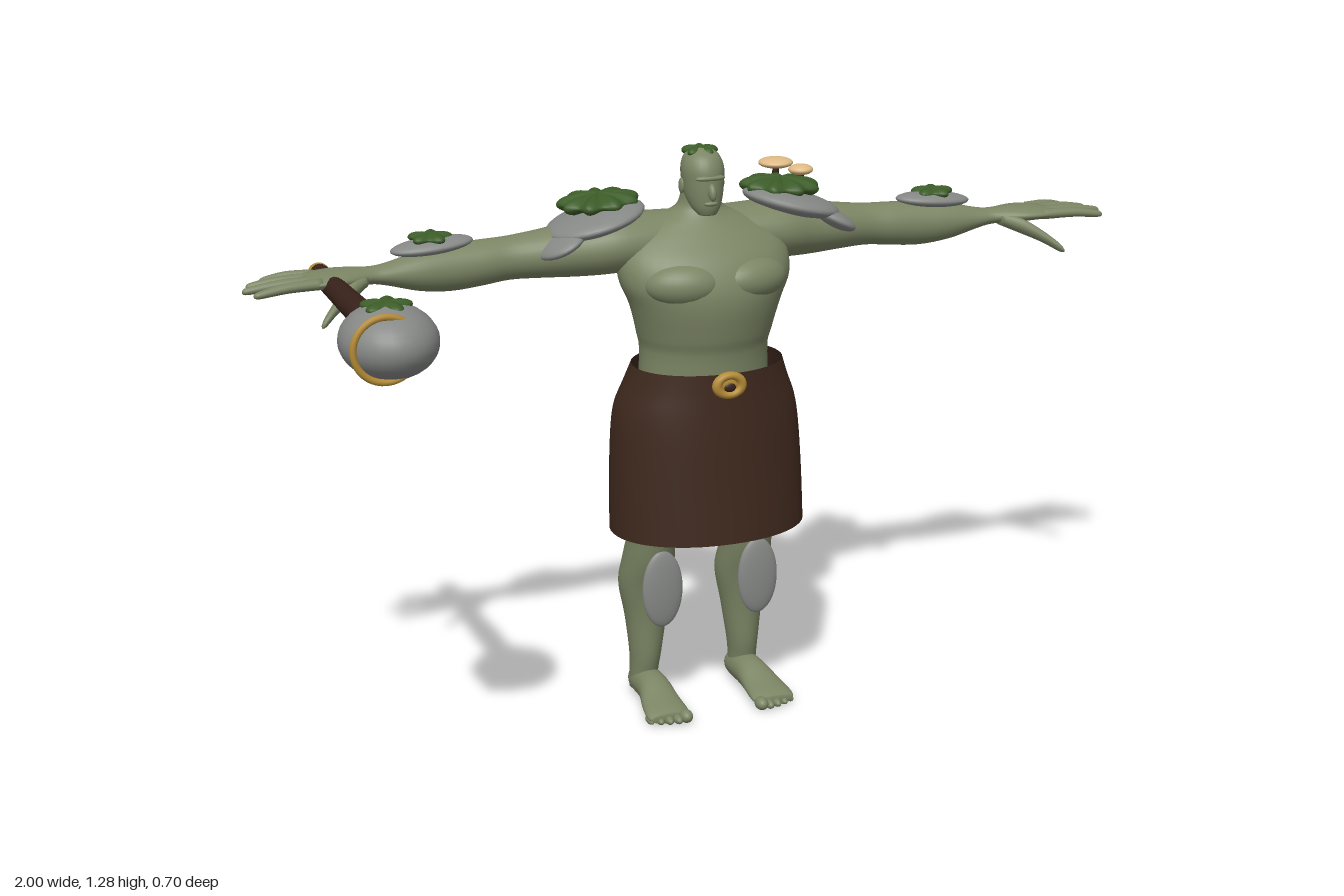
import * as THREE from 'three';

const mat = (name, color, extra = {}) => {
  const m = new THREE.MeshStandardMaterial({ color, ...extra });
  m.name = name;
  return m;
};

export function createModel() {
  const root = new THREE.Group();
  root.name = 'stoneGiant';
  const skin = mat('skin', 0x7b8564);
  const stone = mat('stone', 0x868886);
  const moss = mat('moss', 0x3c5c28);
  const leather = mat('leather', 0x3e281d, { side: THREE.DoubleSide });
  const wood = mat('wood', 0x38221a);
  const gold = mat('gold', 0xb38a36);
  const cream = mat('mushroomCap', 0xdfbb85);

  const add = (name, geo, m, pos = [0, 0, 0], rot = [0, 0, 0]) => {
    const mesh = new THREE.Mesh(geo, m);
    mesh.name = name;
    mesh.position.set(...pos);
    mesh.rotation.set(...rot);
    root.add(mesh);
    return mesh;
  };

  const blob = (name, m, pos, [a, b, c], rot) =>
    add(name, new THREE.SphereGeometry(1, 28, 18).scale(a, b, c), m, pos, rot);

  // Smooth skin over elliptical sections: [t, u, v, ru, rv], (t,u,v) is a cyclic axis order
  const loft = (name, m, axis, rows, { open = false, seg = 28, pow = 1, step = 4 } = {}) => {
    const rings = [];
    const at = (i) => rows[Math.max(0, Math.min(rows.length - 1, i))];
    for (let i = 0; i < rows.length - 1; i++) {
      for (let k = 0; k < step; k++) {
        const f = k / step;
        rings.push(rows[i].map((b, c) => {
          const a = at(i - 1)[c], d = at(i + 1)[c], e = at(i + 2)[c];
          return b + 0.5 * f * (d - a + f * (2 * a - 5 * b + 4 * d - e + f * (3 * (b - d) + e - a)));
        }));
      }
    }
    rings.push(at(rows.length));
    if (!open) {
      const cap = (r) => [r[0], r[1], r[2], 0, 0];
      rings.unshift(cap(rings[0]));
      rings.push(cap(rings[rings.length - 1]));
    }
    const pos = [], idx = [];
    const bend = (q) => Math.sign(q) * Math.abs(q) ** pow;
    rings.forEach(([t, u, v, ru, rv], i) => {
      for (let j = 0; j < seg; j++) {
        const a = (j / seg) * Math.PI * 2;
        const p = [0, 0, 0];
        p[axis] = t;
        p[(axis + 1) % 3] = u + ru * bend(Math.cos(a));
        p[(axis + 2) % 3] = v + rv * bend(Math.sin(a));
        pos.push(...p);
        if (i < rings.length - 1) {
          const n = (j + 1) % seg, A = i * seg, B = A + seg;
          idx.push(A + j, A + n, B + n, A + j, B + n, B + j);
        }
      }
    });
    const g = new THREE.BufferGeometry();
    g.setAttribute('position', new THREE.Float32BufferAttribute(pos, 3));
    g.setIndex(idx);
    g.computeVertexNormals();
    return add(name, g, m);
  };

  // Loft along x, mirrored to the chosen side
  const sideLoft = (name, s, rows, opt) => {
    const r = rows.map(([x, ...rest]) => [s * x, ...rest]);
    loft(name, skin, 0, s < 0 ? r.reverse() : r, opt);
  };

  // Lobed cushion of moss
  const mossPad = (name, pos, [a, b, c], lobes, depth, rot) => {
    const g = new THREE.SphereGeometry(1, 60, 16);
    const p = g.attributes.position;
    for (let i = 0; i < p.count; i++) {
      const x = p.getX(i), z = p.getZ(i), r = Math.hypot(x, z);
      const w = Math.cos(lobes * Math.atan2(z, x));
      const k = 1 + depth * w;
      p.setXYZ(i, x * k * a, p.getY(i) * b * (1 + 0.3 * r * w), z * k * c);
    }
    g.computeVertexNormals();
    add(name, g, moss, pos, rot);
  };

  // Torso and neck: [y, z, x, rz, rx]
  loft('torso', skin, 1, [
    [0.6, -0.19, 0, 0.11, 0.16], [0.82, -0.19, 0, 0.115, 0.145], [0.88, -0.185, 0, 0.123, 0.153],
    [0.95, -0.177, 0, 0.128, 0.172], [1.0, -0.18, 0, 0.127, 0.193], [1.05, -0.195, 0, 0.118, 0.195],
    [1.09, -0.215, 0, 0.1, 0.175], [1.12, -0.22, 0, 0.075, 0.125], [1.14, -0.215, 0, 0.055, 0.07],
    [1.16, -0.21, 0, 0.043, 0.047], [1.2, -0.205, 0, 0.04, 0.04]], { seg: 40 });

  // Head and face
  loft('head', skin, 1, [
    [1.14, -0.163, 0, 0.018, 0.02], [1.155, -0.175, 0, 0.036, 0.032], [1.18, -0.186, 0, 0.05, 0.041],
    [1.21, -0.19, 0, 0.054, 0.045], [1.24, -0.192, 0, 0.053, 0.046], [1.265, -0.196, 0, 0.042, 0.037],
    [1.28, -0.2, 0, 0.018, 0.016]]);
  blob('nose', skin, [0, 1.193, -0.134], [0.009, 0.019, 0.012], [-0.35, 0, 0]);
  blob('brow', skin, [0, 1.222, -0.145], [0.034, 0.007, 0.011]);
  blob('mouth', skin, [0, 1.167, -0.142], [0.016, 0.006, 0.009]);
  mossPad('headMoss', [0, 1.271, -0.205], [0.035, 0.012, 0.035], 5, 0.18);

  for (const s of [1, -1]) {
    blob('ear', skin, [s * 0.046, 1.2, -0.197], [0.006, 0.017, 0.011]);
    blob('chestMuscle', skin, [s * 0.08, 1.005, -0.105], [0.085, 0.048, 0.052], [0, s * 0.25, 0]);

    // Arm to palm: [x, y, z, ry, rz]
    sideLoft('arm', s, [
      [0.04, 1.085, -0.235, 0.055, 0.07], [0.12, 1.08, -0.235, 0.062, 0.08], [0.2, 1.078, -0.24, 0.066, 0.085],
      [0.27, 1.07, -0.25, 0.06, 0.075], [0.35, 1.065, -0.255, 0.052, 0.06], [0.42, 1.061, -0.26, 0.047, 0.05],
      [0.48, 1.057, -0.258, 0.049, 0.05], [0.55, 1.053, -0.257, 0.05, 0.05], [0.62, 1.053, -0.25, 0.042, 0.044],
      [0.69, 1.055, -0.243, 0.024, 0.033], [0.73, 1.057, -0.24, 0.018, 0.031], [0.79, 1.06, -0.235, 0.018, 0.053],
      [0.84, 1.06, -0.233, 0.015, 0.057], [0.875, 1.059, -0.233, 0.009, 0.05]]);
    [[0.95, -0.295, -0.275], [0.985, -0.257, -0.248], [1.0, -0.22, -0.22], [0.985, -0.178, -0.193]]
      .forEach(([tip, zt, zb]) => sideLoft('finger', s, [
        [0.84, 1.06, zb, 0.012, 0.015], [(0.84 + tip) / 2, 1.06, (zb + zt) / 2, 0.011, 0.013],
        [tip - 0.012, 1.053, zt, 0.008, 0.009], [tip, 1.051, zt, 0.003, 0.004]], { seg: 12 }));
    sideLoft('thumb', s, [
      [0.74, 1.053, -0.222, 0.014, 0.02], [0.78, 1.04, -0.19, 0.018, 0.022], [0.82, 1.018, -0.158, 0.014, 0.017],
      [0.85, 0.996, -0.133, 0.01, 0.012], [0.86, 0.988, -0.126, 0.004, 0.005]], { seg: 14 });

    // Leg: [y, z, x, rz, rx]
    loft('leg', skin, 1, [
      [0.02, -0.265, 0.122, 0.034, 0.033], [0.06, -0.262, 0.122, 0.038, 0.032], [0.11, -0.257, 0.12, 0.044, 0.036],
      [0.2, -0.258, 0.118, 0.053, 0.048], [0.28, -0.255, 0.118, 0.066, 0.062], [0.35, -0.232, 0.118, 0.071, 0.057],
      [0.43, -0.21, 0.117, 0.071, 0.053], [0.55, -0.2, 0.113, 0.1, 0.075], [0.7, -0.19, 0.1, 0.11, 0.085]]
      .map(([y, z, x, a, b]) => [y, z, s * x, a, b]));
    // Foot: [z, x, y, rx, ry]
    loft('foot', skin, 2, [
      [-0.302, 0.12, 0.03, 0.02, 0.02], [-0.28, 0.12, 0.034, 0.034, 0.033], [-0.2, 0.121, 0.036, 0.038, 0.035],
      [-0.14, 0.126, 0.025, 0.046, 0.023], [-0.095, 0.128, 0.018, 0.05, 0.016], [-0.075, 0.128, 0.014, 0.044, 0.011]]
      .map(([z, x, y, a, b]) => [z, s * x, y, a, b]));
    for (let i = 0; i < 5; i++) {
      const r = i ? 0.011 - i * 0.0007 : 0.015;
      blob('toe', skin, [s * (0.092 + i * 0.0195), r, -0.072 - i * i * 0.0015], [r, r, 0.02]);
    }

    // Stone plates with moss
    blob('shinPlate', stone, [s * 0.115, 0.295, -0.153], [0.048, 0.09, 0.014]);
    blob('shoulderPlate', stone, [s * 0.23, 1.132, -0.24], [0.112, 0.026, 0.103], [0, 0, -s * 0.25]);
    blob('upperArmPlate', stone, [s * 0.315, 1.095, -0.228], [0.062, 0.02, 0.085], [0, 0, -s * 0.5]);
    blob('forearmPlate', stone, [s * 0.588, 1.104, -0.257], [0.09, 0.017, 0.047], [0, 0, -s * 0.08]);
    mossPad('shoulderMoss', [s * 0.213, 1.165, -0.263], [0.085, 0.021, 0.076], 9, 0.09, [0, 0, -s * 0.06]);
    mossPad('forearmMoss', [s * 0.59, 1.12, -0.262], [0.042, 0.012, 0.04], 5, 0.18);

    // Skin glimpsed through the kilt tear
    blob('kiltTear', skin, [s * 0.168, 0.495, -0.288], [0.015, 0.055, 0.004], [0, s * Math.atan2(0.64, -0.77), 0]);
  }

  // Stone spine
  [1.05, 0.97, 0.89, 0.81].forEach((y, i) =>
    blob('spinePlate', stone, [0, y, -0.323 + i * 0.002], [0.058 - i * 0.004, 0.034, 0.016], [-0.25, 0, 0]));

  // Mushrooms on the left shoulder
  for (const [x, y, z, r] of [[0.225, 1.206, -0.315, 0.039], [0.275, 1.191, -0.29, 0.028]]) {
    blob('mushroomCap', cream, [x, y, z], [r, 0.012, r]);
    add('mushroomStem', new THREE.CylinderGeometry(0.007, 0.009, 0.05, 10), wood, [x, y - 0.03, z]);
  }

  // Kilt and buckle
  loft('kilt', leather, 1, [
    [0.435, -0.175, 0, 0.165, 0.222], [0.55, -0.18, 0, 0.16, 0.22], [0.66, -0.184, 0, 0.156, 0.214],
    [0.72, -0.184, 0, 0.151, 0.205], [0.77, -0.178, 0, 0.141, 0.186], [0.815, -0.17, 0, 0.131, 0.17]],
  { open: true, seg: 56, pow: 0.95 });
  blob('buckle', gold, [0, 0.792, -0.046], [0.036, 0.025, 0.014]);
  add('buckleRing', new THREE.TorusGeometry(0.027, 0.011, 12, 32).scale(1.05, 0.8, 1), gold, [0, 0.79, -0.038]);
  blob('buckleGem', wood, [0, 0.786, -0.035], [0.014, 0.011, 0.006]);

  // Stone club held along z
  const cx = -0.815;
  add('clubShaft', new THREE.CylinderGeometry(0.031, 0.021, 0.49, 16), wood, [cx, 1.049, -0.085], [Math.PI / 2, 0, 0]);
  blob('clubPommel', gold, [cx, 1.047, -0.331], [0.024, 0.024, 0.02]);
  add('clubCollar', new THREE.TorusGeometry(0.03, 0.009, 10, 28), gold, [cx, 1.049, 0.138]);
  blob('clubHead', stone, [cx, 1.049, 0.235], [0.097, 0.073, 0.115]);
  add('clubBand', new THREE.TorusGeometry(0.064, 0.007, 10, 40), gold, [cx - 0.022, 1.049, 0.298]);
  mossPad('clubMoss', [cx, 1.115, 0.225], [0.045, 0.012, 0.045], 5, 0.18);

  return root;
}
